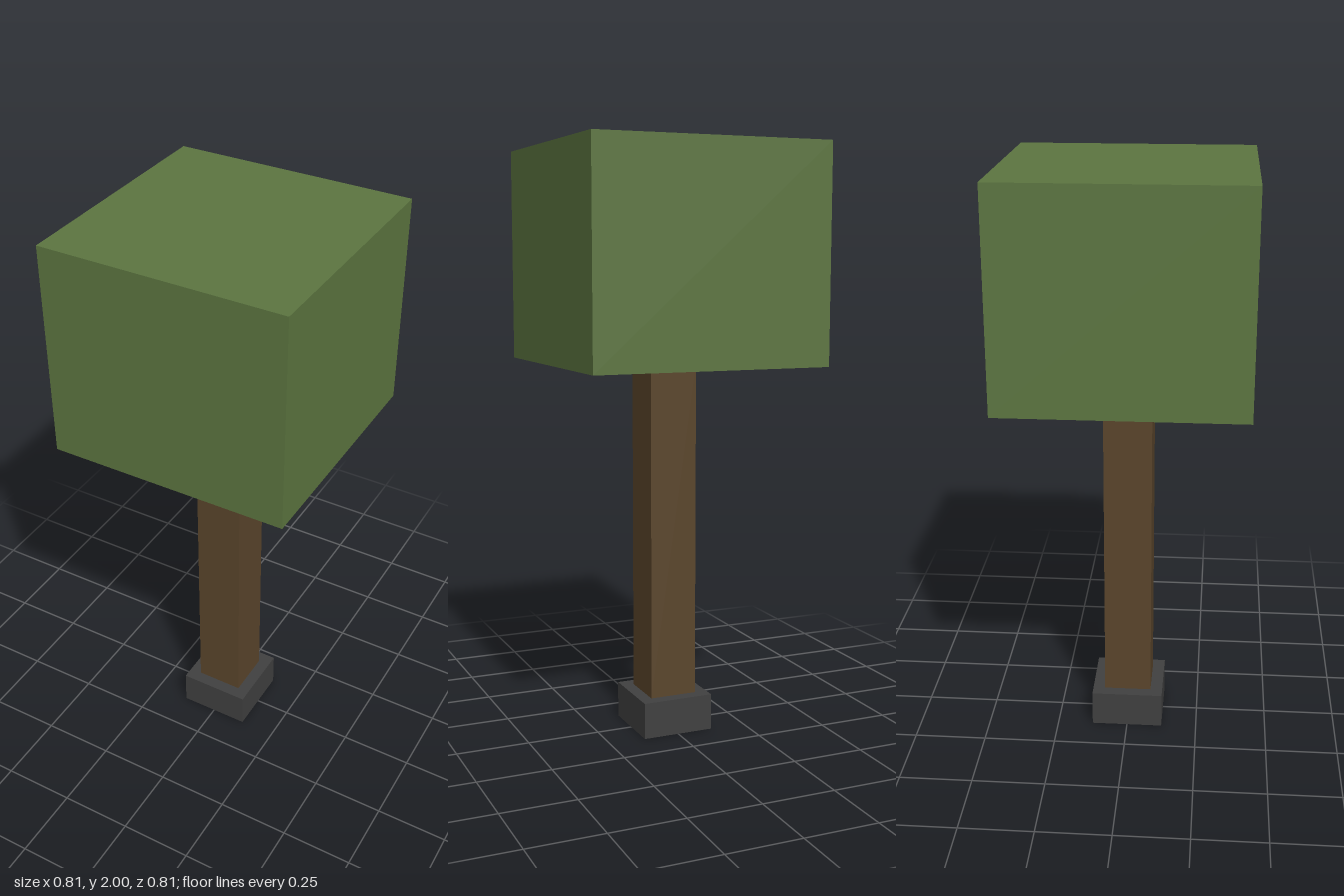
import * as THREE from 'three';

const foliageGreen = new THREE.MeshStandardMaterial({ name: 'foliageGreen', color: 0x5c7540 });
const barkBrown = new THREE.MeshStandardMaterial({ name: 'barkBrown', color: 0x5a452b });
const stoneGrey = new THREE.MeshStandardMaterial({ name: 'stoneGrey', color: 0x404040 });

// Square block of the given width, spanning from bottom to top
function block(name, width, bottom, top, material) {
  const mesh = new THREE.Mesh(new THREE.BoxGeometry(width, top - bottom, width), material);
  mesh.name = name;
  mesh.position.y = (bottom + top) / 2;
  return mesh;
}

export function createModel() {
  const tree = new THREE.Group();
  tree.name = 'blockTree';
  tree.add(
    block('base', 0.25, 0, 0.125, stoneGrey),
    block('trunk', 0.165, 0.125, 1.28, barkBrown),
    block('crown', 0.815, 1.28, 2, foliageGreen),
  );
  return tree;
}
